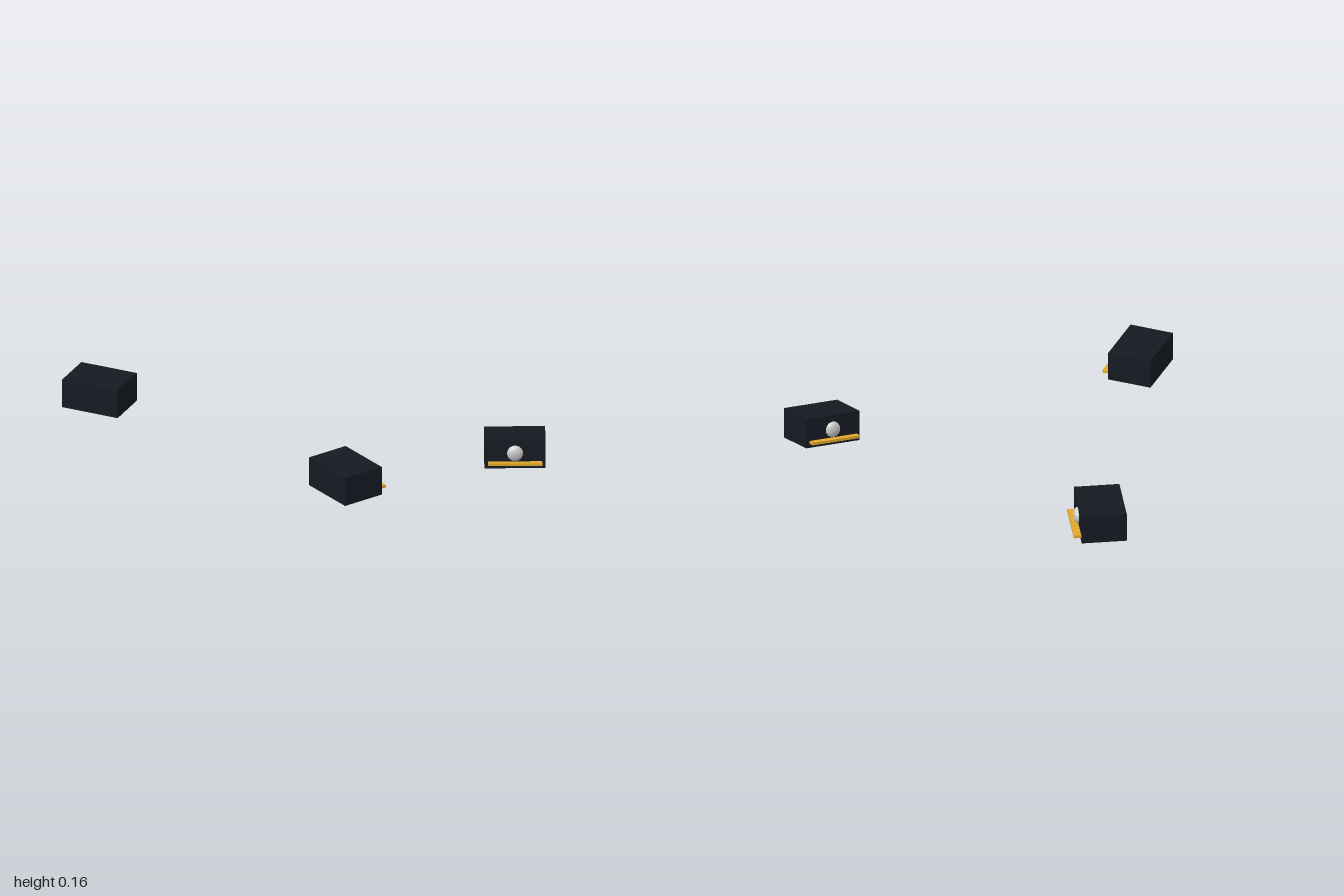
import * as THREE from 'three';

const darkMat = new THREE.MeshStandardMaterial({ color: 0x151a22 });
const goldMat = new THREE.MeshStandardMaterial({ color: 0xe0a82c });
const greyMat = new THREE.MeshStandardMaterial({ color: 0xcccccc, flatShading: true });

const W = 0.234, H = 0.157, L = 0.315; // housing size

function addPart(parent, name, geometry, material, x, y) {
  const mesh = new THREE.Mesh(geometry, material);
  mesh.name = name;
  mesh.position.set(x, y, 0);
  parent.add(mesh);
  return mesh;
}

// One unit: dark housing, domed lens and gold strip on its +x face
function createUnit(name) {
  const unit = new THREE.Group();
  unit.name = name;
  addPart(unit, 'housing', new THREE.BoxGeometry(W, H, L), darkMat, 0, H / 2);
  const lens = addPart(unit, 'lens', new THREE.SphereGeometry(0.0415, 16, 12), greyMat, W / 2, 0.08);
  lens.scale.x = 0.62;
  addPart(unit, 'goldStrip', new THREE.BoxGeometry(0.039, 0.014, 0.279), goldMat, W / 2 + 0.0195, 0.03);
  return unit;
}

export function createModel() {
  const model = new THREE.Group();
  model.name = 'unitPair';
  // Mirrored pair, each toed in towards the middle
  for (const side of [1, -1]) {
    const unit = createUnit(side > 0 ? 'frontUnit' : 'backUnit');
    unit.position.set(-0.0175, 0, side * 0.8185);
    unit.rotation.y = -side * 0.25;
    model.add(unit);
  }
  return model;
}
